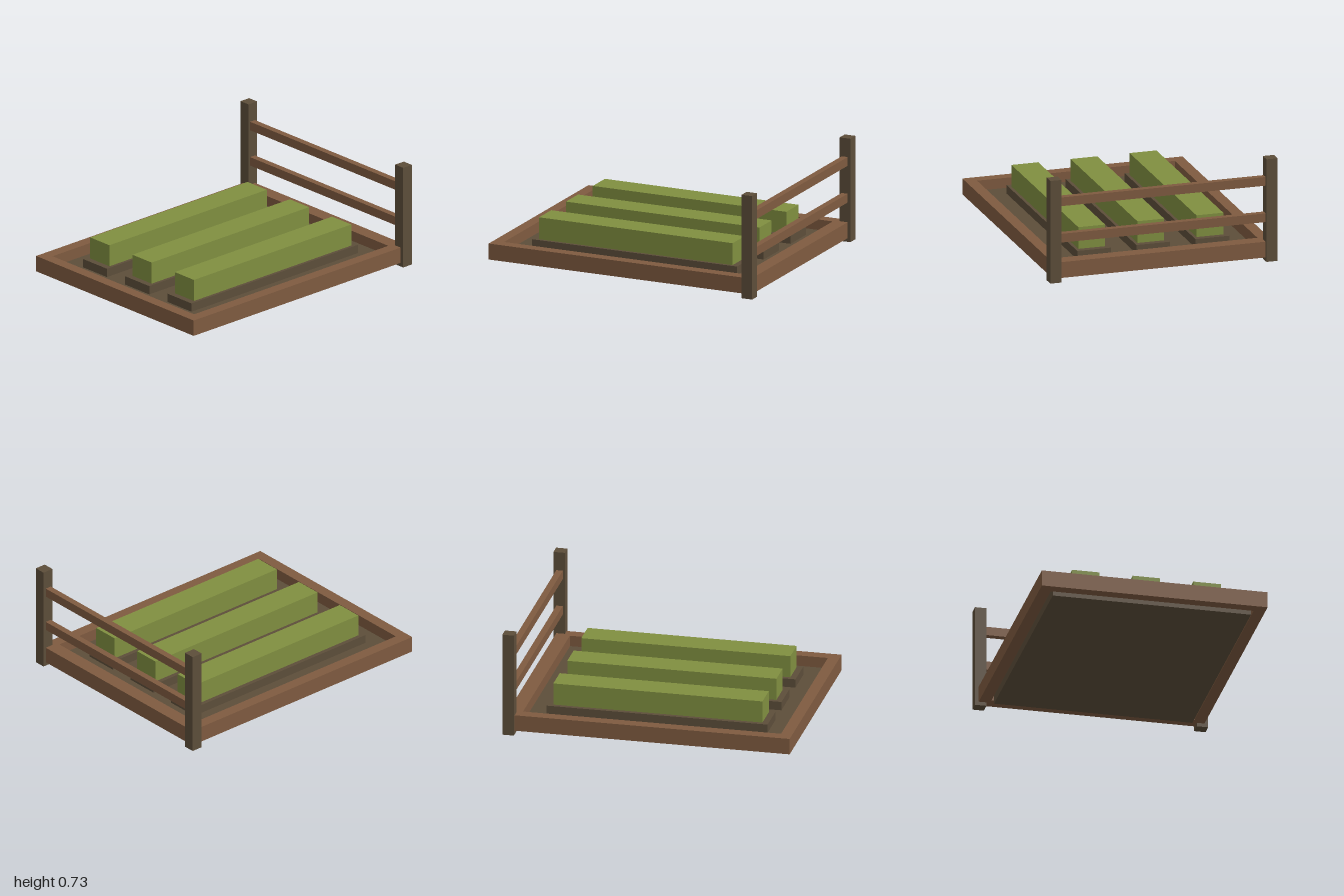
import * as THREE from 'three';

const material = (name, color) => {
  const m = new THREE.MeshStandardMaterial({ color });
  m.name = name;
  return m;
};

export function createModel() {
  const model = new THREE.Group();
  model.name = 'gardenBed';
  const wood = material('wood brown', 0x7f5b40);
  const dark = material('dark earth brown', 0x5d4e3a);
  const green = material('leaf green', 0x808f40);

  // Box given by its extents on each axis
  const addBox = (name, mat, [x0, x1], [y0, y1], [z0, z1]) => {
    const mesh = new THREE.Mesh(new THREE.BoxGeometry(x1 - x0, y1 - y0, z1 - z0), mat);
    mesh.position.set((x0 + x1) / 2, (y0 + y1) / 2, (z0 + z1) / 2);
    mesh.name = name;
    model.add(mesh);
  };

  // Rectangular timber frame with an open middle
  const rect = (path, x0, x1, z) =>
    path.moveTo(x0, -z).lineTo(x1, -z).lineTo(x1, z).lineTo(x0, z).closePath();
  const outline = rect(new THREE.Shape(), -1, 0.98, 0.788);
  outline.holes.push(rect(new THREE.Path(), -0.922, 0.88, 0.708));
  const frameGeometry = new THREE.ExtrudeGeometry(outline, { depth: 0.113, bevelEnabled: false });
  frameGeometry.rotateX(-Math.PI / 2);
  const frame = new THREE.Mesh(frameGeometry, wood);
  frame.position.y = 0.026;
  frame.name = 'frame';
  model.add(frame);

  // Soil slab, just clear of the frame
  addBox('soil', dark, [-0.913, 0.874], [0, 0.07], [-0.692, 0.692]);

  // Three planted rows, each on a low mound
  for (const z of [-0.423, 0, 0.423]) {
    const mz = z - 0.004;
    addBox('mound', dark, [-0.79, 0.754], [0.07, 0.131], [mz - 0.121, mz + 0.121]);
    addBox('cropRow', green, [-0.748, 0.712], [0.131, 0.286], [z - 0.096, z + 0.096]);
  }

  // Fence posts at the two corners of the left end
  for (const s of [-1, 1]) {
    addBox('post', dark, [0.92, 1], [0, 0.733], [s * 0.774 - 0.04, s * 0.774 + 0.04]);
  }

  // Fence rails between the posts
  for (const y of [0.31, 0.57]) {
    addBox('rail', wood, [0.935, 0.98], [y - 0.031, y + 0.031], [-0.736, 0.736]);
  }

  return model;
}
